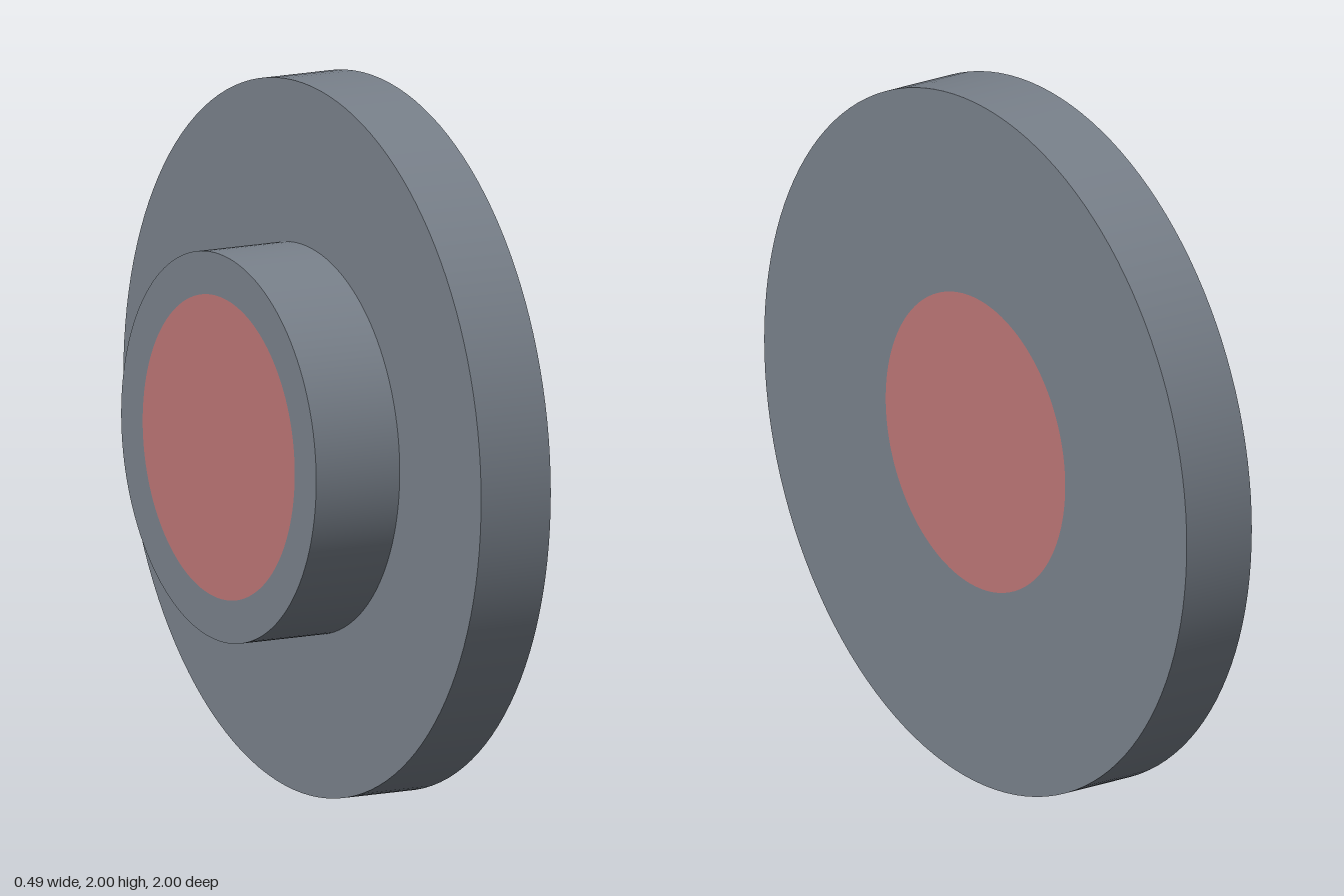
import * as THREE from 'three';
import { mergeGeometries } from 'three/addons/utils/BufferGeometryUtils.js';

const SEGMENTS = 128;
const HALF = 0.243;   // half thickness along the axis
const STEP = 0.022;   // where the hub meets the disc
const CORE_R = 0.425, HUB_R = 0.545, DISC_R = 1;

// Revolve each profile segment on its own, so rims stay sharp and walls smooth
function turned(profile) {
  const bands = [];
  for (let i = 0; i < profile.length - 1; i++) {
    const pair = [profile[i], profile[i + 1]].map(([r, y]) => new THREE.Vector2(r, y));
    bands.push(new THREE.LatheGeometry(pair, SEGMENTS));
  }
  return mergeGeometries(bands);
}

export function createModel() {
  const steel = new THREE.MeshStandardMaterial({ color: 0x79818b });
  steel.name = 'grey steel';
  const red = new THREE.MeshStandardMaterial({ color: 0xbd7676 });
  red.name = 'muted red';

  const model = new THREE.Group();
  model.name = 'steppedWheel';
  const add = (name, geometry, material) => {
    const mesh = new THREE.Mesh(geometry, material);
    mesh.name = name;
    model.add(mesh);
  };

  // Narrow hub on the right side
  add('hub', turned([[CORE_R, -HALF], [HUB_R, -HALF], [HUB_R, STEP]]), steel);

  // Wide disc on the left side
  add('disc', turned([[HUB_R, STEP], [DISC_R, STEP], [DISC_R, HALF], [CORE_R, HALF]]), steel);

  // Red core running through, flush with both faces
  add('core', new THREE.CylinderGeometry(CORE_R, CORE_R, HALF * 2, SEGMENTS), red);

  // Lay the turning axis along x and stand the wheel on the ground
  model.rotation.z = -Math.PI / 2;
  model.position.y = DISC_R;

  const root = new THREE.Group();
  root.name = 'wheel';
  root.add(model);
  return root;
}
